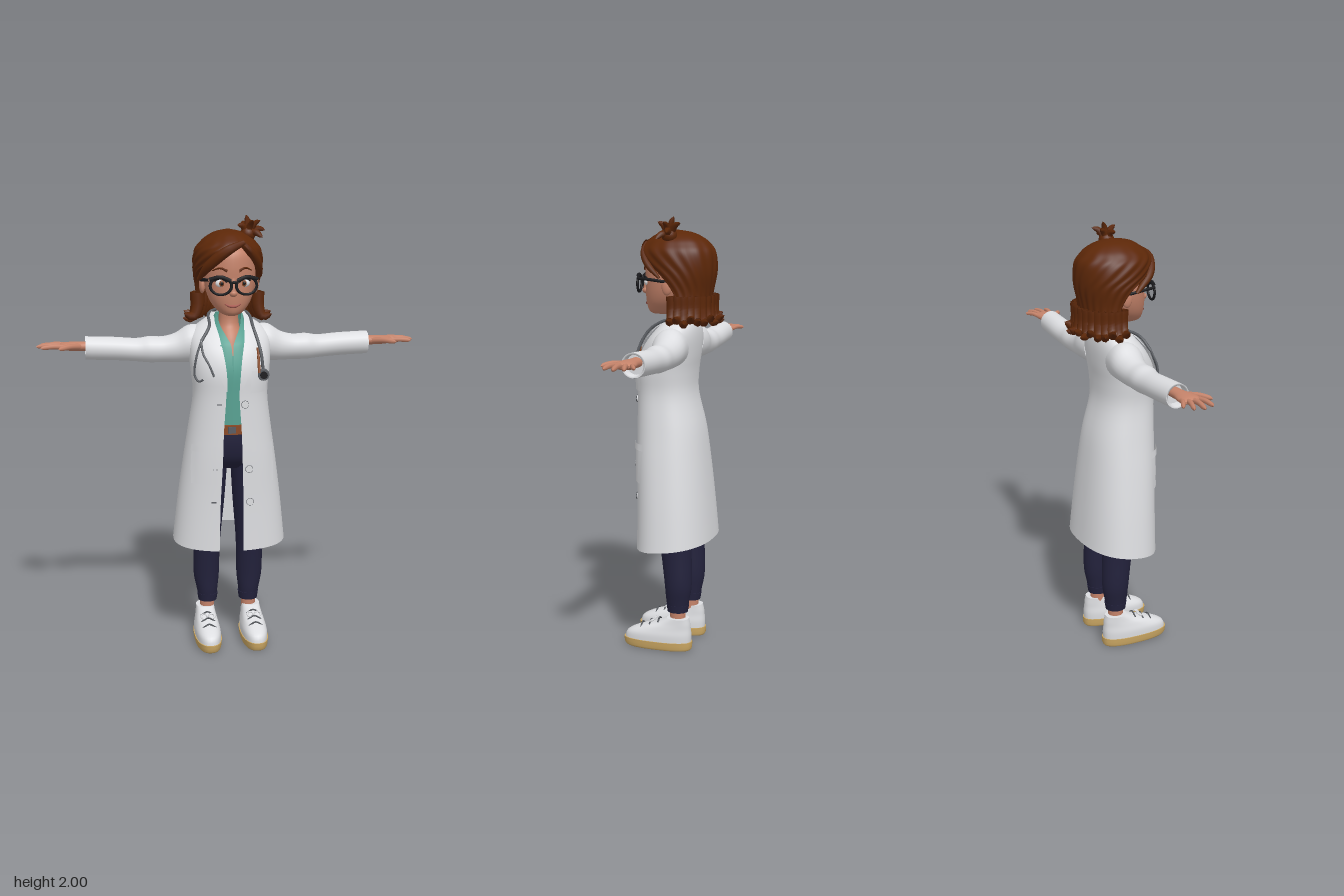
import * as THREE from 'three';

const mat = (name, color, double) => {
  const m = new THREE.MeshStandardMaterial({ color });
  m.name = name;
  if (double) m.side = THREE.DoubleSide;
  return m;
};
const V = (x, y, z) => new THREE.Vector3(x, y, z);

// Catmull-Rom subdivision of a short table of cross-sections
function smooth(rows, n = 4) {
  const out = [], last = rows.length - 1;
  for (let i = 0; i < last; i++) {
    const [a, b, c, d] = [rows[Math.max(0, i - 1)], rows[i], rows[i + 1], rows[Math.min(last, i + 2)]];
    for (let k = 0; k < n; k++) {
      const t = k / n;
      out.push(b.map((_, j) => b[j] + 0.5 * t * (c[j] - a[j] + t * (2 * a[j] - 5 * b[j] + 4 * c[j] - d[j] + t * (3 * (b[j] - c[j]) + d[j] - a[j])))));
    }
  }
  return [...out, rows[last]];
}

// Skin a list of rings (arrays of Vector3); caps keep a sharp edge
function loft(rings, closed = true, capStart = false, capEnd = false) {
  const centre = r => r.map(() => r.reduce((s, p) => s.add(p), V(0, 0, 0)).divideScalar(r.length));
  const all = [...rings], first = rings[0], end = rings[rings.length - 1];
  if (capStart) all.unshift(centre(first), first);
  if (capEnd) all.push(end, centre(end));
  const n = first.length, index = [];
  for (let r = 0; r < all.length - 1; r++) {
    for (let j = 0; j < (closed ? n : n - 1); j++) {
      const a = r * n + j, b = r * n + (j + 1) % n;
      index.push(a, b, b + n, a, b + n, a + n);
    }
  }
  const g = new THREE.BufferGeometry().setFromPoints(all.flat());
  g.setIndex(index);
  g.computeVertexNormals();
  return g;
}

// Horizontal superellipse ring from a row [y, halfWidth, zFront, zBack]
const pow = (v, p) => Math.sign(v) * Math.abs(v) ** p;
function ring([y, hw, zF, zB], { x = 0, p = 1, n = 32, a0 = 0, a1 = null } = {}) {
  const open = a1 !== null, pts = [];
  for (let i = 0; i < n; i++) {
    const a = open ? a0 + (a1 - a0) * i / (n - 1) : Math.PI * 2 * i / n;
    pts.push(V(x + hw * pow(Math.sin(a), p), y, (zF + zB) / 2 + (zF - zB) / 2 * pow(Math.cos(a), p)));
  }
  return pts;
}
const body = (rows, opt = {}, k = 4, c0 = true, c1 = true) => loft(smooth(rows, k).map(r => ring(r, opt)), true, c0, c1);

// Front depth of such a surface at x, y
function surfZ(rows, p, x, y) {
  let i = 0;
  while (i < rows.length - 2 && rows[i + 1][0] < y) i++;
  const t = THREE.MathUtils.clamp((y - rows[i][0]) / (rows[i + 1][0] - rows[i][0]), 0, 1);
  const [, hw, f, b] = rows[i].map((v, j) => v + (rows[i + 1][j] - v) * t);
  return (f + b) / 2 + (f - b) / 2 * (1 - Math.min(1, Math.abs(x) / hw) ** (2 / p)) ** (p / 2);
}

// Tube whose radius follows f(t)
function taper(pts, r, f = () => 1, n = 12, sides = 8) {
  const curve = new THREE.CatmullRomCurve3(pts.map(q => V(...q)));
  const g = new THREE.TubeGeometry(curve, n, r, sides), pos = g.attributes.position, v = V(0, 0, 0);
  for (let i = 0; i < pos.count; i++) {
    const t = Math.floor(i / (sides + 1)) / n, c = curve.getPointAt(t);
    v.fromBufferAttribute(pos, i).sub(c).multiplyScalar(Math.max(0.02, f(t))).add(c);
    pos.setXYZ(i, v.x, v.y, v.z);
  }
  return g;
}
const fingertip = t => t < 0.75 ? 1 - t * 0.2 : 0.85 * Math.sqrt(Math.max(0, 1 - ((t - 0.75) / 0.25) ** 2));
const lockShape = t => Math.sqrt(Math.max(0, 1 - t ** 2.2));

export function createModel() {
  const root = new THREE.Group();
  const skin = mat('skin', 0xc5836a), hairM = mat('hair brown', 0x5c2708, true), white = mat('coat white', 0xdcdde0, true);
  const teal = mat('shirt teal', 0x5ba596, true), navy = mat('trouser navy', 0x23223c), brown = mat('belt brown', 0x8a4a26);
  const tan = mat('sole tan', 0xcba763), black = mat('frame black', 0x19191c), steel = mat('steel grey', 0x5a5d62), lip = mat('lip red', 0xa85a50);
  const add = (name, geo, m, pos) => {
    const mesh = new THREE.Mesh(geo, m);
    mesh.name = name;
    if (pos) mesh.position.set(...pos);
    root.add(mesh);
    return mesh;
  };
  const ball = (name, m, pos, s) => add(name, new THREE.SphereGeometry(1, 20, 14), m, pos).scale.set(...s);

  // Open coat: [y, halfWidth, zFront, zBack, gap at -x, gap at +x]
  const cp = 0.85;
  const coat = smooth([
    [0.5, 0.262, 0.16, -0.19, 0.065, 0.045], [0.7, 0.24, 0.16, -0.175, 0.06, 0.045], [0.9, 0.213, 0.165, -0.155, 0.05, 0.04],
    [1.05, 0.19, 0.165, -0.135, 0.045, 0.035], [1.2, 0.17, 0.165, -0.1, 0.035, 0.025], [1.3, 0.178, 0.168, -0.1, 0.035, 0.03],
    [1.38, 0.185, 0.15, -0.11, 0.045, 0.04], [1.45, 0.185, 0.11, -0.115, 0.06, 0.055], [1.5, 0.155, 0.07, -0.112, 0.07, 0.06],
    [1.54, 0.1, 0.035, -0.1, 0.075, 0.065], [1.565, 0.075, 0, -0.095, 0.06, 0.06]]);
  add('coat', loft(coat.map(r => {
    const edge = g => Math.asin(Math.min(1, g / r[1]) ** (1 / cp));
    const pts = ring(r, { p: cp, n: 49, a0: edge(r[5]), a1: Math.PI * 2 - edge(r[4]) });
    pts.forEach(q => { q.y -= 0.12 * q.z * Math.max(0, 1 - (r[0] - 0.5) / 0.2); });
    return pts;
  }), false), white);
  const on = (x, y, off = 0.008) => [x, y, surfZ(coat, cp, x, y) + off];
  // Patch laid on the coat front, from rows [y, x0, x1]
  const drape = (name, rows, s, off) => add(name, loft(smooth(rows, 3).map(([y, x0, x1]) =>
    Array.from({ length: 7 }, (_, i) => V(...on(s * (x0 + (x1 - x0) * i / 6), y, off)))), false), white);
  for (const s of [-1, 1]) {
    drape('lapel', [[1.23, 0.03, 0.034], [1.32, 0.034, 0.075], [1.4, 0.045, 0.115], [1.43, 0.05, 0.125]], s, 0.009);
    drape('coatCollar', [[1.435, 0.052, 0.095], [1.48, 0.06, 0.115], [1.52, 0.07, 0.105], [1.55, 0.07, 0.085]], s, 0.012);
    drape('hipPocket', [[0.8, 0.08, 0.19], [0.88, 0.08, 0.19], [0.96, 0.085, 0.185]], s, 0.006);
    drape('pocketFlap', [[0.95, 0.08, 0.19], [0.98, 0.08, 0.185]], s, 0.011);
  }
  drape('chestPocket', [[1.22, 0.075, 0.15], [1.32, 0.08, 0.155]], 1, 0.007);
  for (const [x, y] of [[0.05, 1.17], [0.07, 0.87], [0.075, 0.715]]) {
    add('button', new THREE.CylinderGeometry(0.016, 0.016, 0.01, 18).rotateX(Math.PI / 2), white, on(x, y, 0.004));
    add('buttonRim', new THREE.TorusGeometry(0.016, 0.002, 6, 18), steel, on(x, y, 0.006));
    add('buttonhole', new THREE.BoxGeometry(0.022, 0.005, 0.004), steel, on(-x - 0.015, y, 0.002));
  }

  // Shirt with a V neck, belt and trousers
  const shirt = [[1.05, 0.125, 0.125, -0.08, 0], [1.2, 0.12, 0.135, -0.07, 0], [1.32, 0.13, 0.14, -0.07, 0.002],
    [1.42, 0.115, 0.115, -0.085, 0.004], [1.46, 0.1, 0.088, -0.09, 0.02], [1.51, 0.078, 0.055, -0.09, 0.045], [1.56, 0.064, 0.03, -0.085, 0.055]];
  add('shirt', loft(smooth(shirt).map(r => {
    const a = Math.asin(Math.max(0, r[4]) / r[1]);
    return ring(r, { a0: a, a1: Math.PI * 2 - a, n: 33 });
  }), false), teal);
  add('belt', body([[1.025, 0.135, 0.138, -0.09], [1.068, 0.132, 0.138, -0.088]], {}, 1), brown);
  add('buckle', new THREE.BoxGeometry(0.035, 0.03, 0.008), steel, [-0.005, 1.047, 0.138]);
  add('trouserHips', body([[0.85, 0.13, 0.06, -0.09], [0.9, 0.165, 0.105, -0.12], [0.97, 0.155, 0.125, -0.115], [1.04, 0.13, 0.128, -0.085]]), navy);

  for (const s of [-1, 1]) {
    // Leg, turn-up, ankle
    const leg = (x, rows, m, name, k = 4) => add(name, body(rows, { x: s * x, n: 24 }, k), m);
    add('trouserLeg', loft(smooth([[0.19, 0.042, 0.002, -0.09, 0.098], [0.24, 0.05, 0.01, -0.1, 0.1], [0.32, 0.061, 0.016, -0.112, 0.103],
      [0.48, 0.064, 0.035, -0.11, 0.102], [0.7, 0.081, 0.07, -0.11, 0.1], [0.92, 0.085, 0.09, -0.1, 0.09]])
      .map(r => ring(r, { x: s * r[4], n: 24 })), true, true, true), navy);
    leg(0.098, [[0.18, 0.044, 0.004, -0.092], [0.215, 0.049, 0.009, -0.098]], navy, 'trouserCuff', 1);
    leg(0.1, [[0.1, 0.034, -0.01, -0.08], [0.2, 0.034, -0.008, -0.083]], skin, 'ankle', 1);
    // Shoe
    const foot = { x: s * 0.11, p: 0.82, n: 32 };
    add('sole', body([[0, 0.055, 0.2, -0.11], [0.01, 0.06, 0.212, -0.116], [0.04, 0.063, 0.216, -0.117]], foot, 2), tan);
    add('shoeUpper', body([[0.035, 0.059, 0.21, -0.112], [0.07, 0.059, 0.198, -0.113], [0.1, 0.052, 0.14, -0.11],
      [0.125, 0.046, 0.06, -0.107], [0.152, 0.042, 0.002, -0.1]], foot), white);
    for (let i = 0; i < 3; i++) {
      const y = 0.108 + i * 0.015, z = 0.125 - i * 0.042;
      add('lace', taper([[s * 0.11 - 0.032, y - 0.012, z], [s * 0.11, y + 0.006, z], [s * 0.11 + 0.032, y - 0.012, z]], 0.004, () => 1, 8, 5), steel);
    }
    for (const k of [-1, 1]) {
      const bow = add('laceBow', new THREE.TorusGeometry(0.014, 0.004, 6, 14), white, [s * 0.11 + k * 0.018, 0.132, 0.07]);
      bow.rotation.x = -1;
    }

    // Sleeve, running out along x: [x, y, z, ry, rz]
    const limb = rows => rows.map(([x, y, z, ry, rz]) => Array.from({ length: 24 }, (_, i) => {
      const a = Math.PI * 2 * i / 24;
      return V(s * x, y + ry * Math.cos(a), z + s * rz * Math.sin(a));
    }));
    const sleeve = smooth([[0.11, 1.42, -0.03, 0.085, 0.07], [0.18, 1.422, -0.03, 0.086, 0.078], [0.24, 1.404, -0.033, 0.068, 0.068],
      [0.3, 1.397, -0.035, 0.059, 0.062], [0.36, 1.398, -0.035, 0.06, 0.064], [0.42, 1.397, -0.038, 0.053, 0.057], [0.52, 1.404, -0.04, 0.053, 0.056], [0.65, 1.41, -0.035, 0.053, 0.053]]);
    add('sleeve', loft(limb([...sleeve, [0.65, 1.41, -0.035, 0.053, 0.053], [0.65, 1.41, -0.035, 0.045, 0.045], [0.61, 1.41, -0.035, 0.043, 0.043]]), true, false, true), white);
    // Hand
    add('palm', loft(limb(smooth([[0.6, 1.418, -0.035, 0.022, 0.027], [0.66, 1.419, -0.033, 0.021, 0.03],
      [0.71, 1.42, -0.028, 0.02, 0.045], [0.75, 1.421, -0.03, 0.016, 0.046], [0.77, 1.421, -0.032, 0.008, 0.036]])), true, true, true), skin);
    for (const [x0, z0, x1, z1, r] of [[0.73, -0.062, 0.815, -0.1, 0.011], [0.74, -0.043, 0.855, -0.072, 0.012], [0.74, -0.02, 0.87, -0.03, 0.0125], [0.735, 0.003, 0.85, 0.018, 0.012], [0.675, -0.012, 0.77, 0.06, 0.014]])
      add('finger', taper([[s * x0, 1.42, z0], [s * (x0 + x1) / 2, 1.425, (z0 + z1) / 2 + 0.003], [s * x1, 1.42, z1]], r, fingertip), skin);
  }

  // Neck and head
  add('neck', body([[1.38, 0.07, 0.095, -0.06], [1.46, 0.06, 0.068, -0.07], [1.52, 0.046, 0.03, -0.065], [1.62, 0.042, 0.035, -0.06]]), skin);
  const head = smooth([[1.56, 0.022, 0.1, 0.03], [1.573, 0.05, 0.122, 0], [1.61, 0.084, 0.132, -0.05], [1.66, 0.106, 0.136, -0.09],
    [1.72, 0.116, 0.136, -0.11], [1.78, 0.116, 0.138, -0.12], [1.84, 0.108, 0.128, -0.11], [1.89, 0.07, 0.085, -0.08]]);
  add('head', loft(head.map(r => ring(r)), true, true, true), skin);
  const face = (x, y, off) => [x, y, surfZ(head, 1, x, y) + off];
  ball('nose', skin, [0, 1.665, 0.138], [0.018, 0.016, 0.02]);
  add('noseBridge', taper([[0, 1.73, 0.132], [0, 1.67, 0.143]], 0.012), skin);
  add('lips', taper([-0.036, -0.018, 0, 0.018, 0.036].map(x => face(x, 1.606 + 9 * x * x, 0)), 0.007, t => 0.3 + 0.7 * Math.sin(Math.PI * t)), lip);
  for (const s of [-1, 1]) {
    ball('ear', skin, [s * 0.122, 1.69, 0], [0.014, 0.038, 0.024]);
    ball('eyeWhite', white, face(s * 0.052, 1.708, -0.006), [0.025, 0.018, 0.012]);
    ball('iris', brown, face(s * 0.05, 1.708, 0.002), [0.012, 0.014, 0.006]);
    ball('pupil', black, face(s * 0.05, 1.708, 0.006), [0.007, 0.008, 0.004]);
    add('eyelashes', taper([0.026, 0.052, 0.08].map((x, i) => face(s * x, [1.714, 1.73, 1.718][i], 0.004)), 0.004), black);
    add('eyebrow', taper([0.025, 0.055, 0.088].map((x, i) => face(s * x, [1.762, 1.775, 1.762][i], 0.001)), 0.006, t => 1 - 0.6 * t), hairM);
    // Glasses
    const rim = add('glassesRim', new THREE.TorusGeometry(0.042, 0.006, 8, 28), black, [s * 0.057, 1.7, 0.152]);
    rim.scale.set(1.12, 0.92, 1);
    rim.rotation.y = s * 0.15;
    add('glassesBrow', taper([[s * 0.014, 1.722, 0.16], [s * 0.057, 1.738, 0.154], [s * 0.106, 1.728, 0.143]], 0.009), black);
    add('glassesTemple', taper([[s * 0.106, 1.725, 0.143], [s * 0.122, 1.72, 0.07], [s * 0.128, 1.71, -0.01]], 0.007), black);
  }
  add('glassesBridge', taper([[-0.014, 1.71, 0.158], [0, 1.716, 0.162], [0.014, 1.71, 0.158]], 0.006), black);

  // Hair shell, open at the face: [y, halfWidth, zFront, zBack, start degrees, end degrees]
  const rad = Math.PI / 180;
  const hair = smooth([[1.55, 0.165, 0.05, -0.18, 84, 276], [1.6, 0.146, 0.07, -0.165, 86, 274], [1.66, 0.142, 0.1, -0.172, 88, 272],
    [1.74, 0.154, 0.135, -0.188, 70, 288], [1.8, 0.157, 0.155, -0.19, 46, 324], [1.845, 0.15, 0.162, -0.183, 28, 354],
    [1.875, 0.13, 0.145, -0.163, 19, 376], [1.9, 0.105, 0.115, -0.135, 18, 378], [1.925, 0.062, 0.07, -0.085, 18, 378], [1.937, 0.012, 0.0, -0.02, 18, 378]], 5);
  add('hair', loft(hair.map(r => {
    const pts = ring(r, { x: -0.004, n: 97, a0: r[4] * rad, a1: r[5] * rad });
    const zc = (r[2] + r[3]) / 2;
    pts.forEach((q, i) => {
      const k = (i === 0 || i === 96) && r[0] < 1.88 ? 0.82 : 1 + 0.014 * Math.sin(i * 0.9 + r[0] * 9) * Math.min(1, (1.94 - r[0]) * 12);
      q.set(q.x * k, q.y, zc + (q.z - zc) * k);
    });
    return pts;
  }), false, false, true), hairM);
  // Flipped ends around the nape
  for (let i = 0; i < 17; i++) {
    const a = (82 + i * 196 / 16) * rad, sx = Math.sin(a), cz = Math.cos(a), up = 0.016 * Math.sin(i * 2.4);
    const at = (r, y) => [r * sx * 1.03, y, -0.05 + r * cz * 0.88];
    add('flippedLock', taper([at(0.137, 1.65), at(0.138, 1.585), at(0.158, 1.54 + up / 2), at(0.198, 1.55 + up)], 0.03, lockShape, 10, 7), hairM);
  }
  // Swept fringe
  add('fringe', taper([[0.05, 1.885, 0.12], [-0.03, 1.85, 0.148], [-0.1, 1.79, 0.118], [-0.142, 1.72, 0.04]], 0.024, t => 0.35 + 0.65 * Math.sin(Math.PI * Math.min(1, t * 0.95 + 0.05))), hairM);
  add('fringe', taper([[0.05, 1.885, 0.12], [0.085, 1.845, 0.122], [0.12, 1.79, 0.09], [0.14, 1.73, 0.03]], 0.017, t => 0.35 + 0.65 * Math.sin(Math.PI * t)), hairM);
  // Tied tuft on the crown
  ball('tuftBase', hairM, [0.085, 1.915, 0], [0.035, 0.035, 0.035]);
  for (const [x, y, z] of [[0.08, 1.998, -0.02], [0.035, 1.955, 0.02], [0.14, 1.975, 0.01], [0.165, 1.93, -0.01], [0.1, 1.975, 0.05], [0.11, 1.97, -0.06], [0.06, 1.965, -0.04], [0.145, 1.9, 0.045]])
    add('tuft', taper([[0.08, 1.905, 0], [(x + 0.09) / 2, (y + 1.93) / 2 + 0.008, z / 2], [x, y, z]], 0.018, lockShape, 8, 6), hairM);

  // Stethoscope and pen
  add('stethoscopeTube', taper([on(0.135, 1.31, 0.016), on(0.125, 1.4, 0.02), on(0.1, 1.5, 0.03), [0.085, 1.56, -0.04], [0, 1.57, -0.108],
    [-0.085, 1.56, -0.04], on(-0.1, 1.51, 0.03), on(-0.14, 1.45, 0.03)], 0.007, () => 1, 60), steel);
  add('stethoscopeArm', taper([on(-0.14, 1.45, 0.03), on(-0.165, 1.38, 0.04), on(-0.172, 1.3, 0.05), on(-0.155, 1.275, 0.03), on(-0.135, 1.285, 0.02)], 0.005, () => 1, 30), steel);
  add('stethoscopeArm', taper([on(-0.14, 1.45, 0.03), on(-0.135, 1.4, 0.02), on(-0.11, 1.35, 0.018), on(-0.09, 1.3, 0.014)], 0.005, () => 1, 20), steel);
  add('chestPiece', new THREE.CylinderGeometry(0.025, 0.028, 0.018, 22).rotateX(Math.PI / 2), steel, on(0.135, 1.3, 0.02));
  add('chestPieceFace', new THREE.CylinderGeometry(0.017, 0.017, 0.006, 20).rotateX(Math.PI / 2), black, on(0.135, 1.3, 0.031));
  add('pen', taper([on(0.115, 1.31, 0.014), on(0.113, 1.42, 0.014)], 0.006), brown);
  return root;
}
